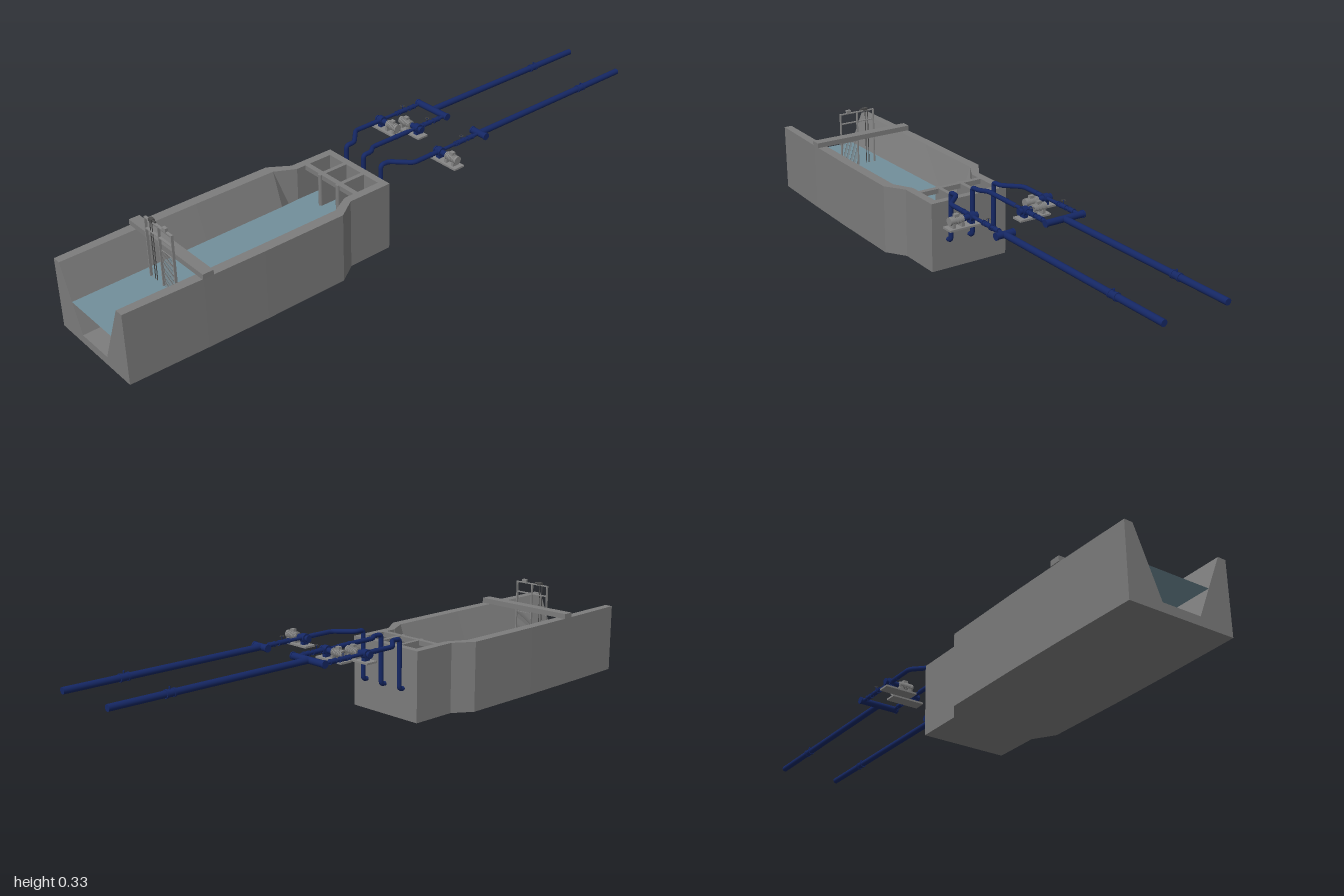
import * as THREE from 'three';

const concrete = new THREE.MeshStandardMaterial({ color: 0x7c7c7c });
const concreteFlat = new THREE.MeshStandardMaterial({ color: 0x7c7c7c, flatShading: true, side: THREE.DoubleSide });
const steel = new THREE.MeshStandardMaterial({ color: 0x858585 });
const darkSteel = new THREE.MeshStandardMaterial({ color: 0x4c4c4c });
const blue = new THREE.MeshStandardMaterial({ color: 0x152764 });
const waterMat = new THREE.MeshStandardMaterial({ color: 0x728f9b, side: THREE.DoubleSide });

const CX = -0.02;      // centre line of the basin
const TOP = 0.228, FLOOR = 0.028, WATER = 0.12, PIPE_Y = 0.26;

function add(parent, name, geometry, material, x = 0, y = 0, z = 0) {
  const mesh = new THREE.Mesh(geometry, material);
  mesh.name = name;
  mesh.position.set(x, y, z);
  parent.add(mesh);
  return mesh;
}

// Box given by its limits on each axis
function box(parent, name, [x0, x1], [y0, y1], [z0, z1], material) {
  return add(parent, name, new THREE.BoxGeometry(x1 - x0, y1 - y0, z1 - z0), material,
    (x0 + x1) / 2, (y0 + y1) / 2, (z0 + z1) / 2);
}

// Cylinder centred at a point, along axis 'x', 'y' or 'z'
function rod(parent, name, axis, r, length, x, y, z, material = blue, sides = 20) {
  const g = new THREE.CylinderGeometry(r, r, length, sides);
  if (axis === 'x') g.rotateZ(Math.PI / 2);
  if (axis === 'z') g.rotateX(Math.PI / 2);
  return add(parent, name, g, material, x, y, z);
}

// Pipe through points, with rounded elbows
function pipe(parent, name, points, r, bend = 0.012) {
  const p = points.map(a => new THREE.Vector3(...a));
  const path = new THREE.CurvePath();
  let from = p[0];
  for (let i = 1; i < p.length - 1; i++) {
    const a = p[i].clone().add(p[i - 1].clone().sub(p[i]).setLength(bend));
    const b = p[i].clone().add(p[i + 1].clone().sub(p[i]).setLength(bend));
    path.add(new THREE.LineCurve3(from, a));
    path.add(new THREE.QuadraticBezierCurve3(a, p[i], b));
    from = b;
  }
  path.add(new THREE.LineCurve3(from, p[p.length - 1]));
  add(parent, name, new THREE.TubeGeometry(path, 140, r, 12), blue);
}

// Basin stations from front to back: z, outer, inner top and inner floor half widths
const stations = [
  [1.0, 0.172, 0.145, 0.063],
  [0.75, 0.179, 0.147, 0.067],
  [0.55, 0.182, 0.148, 0.071],
  [0.27, 0.182, 0.147, 0.077],
  [0.205, 0.139, 0.112, 0.112],
  [0.07, 0.139, 0.112, 0.112],
];

// U-shaped channel lofted through the stations
function channelGeometry() {
  const rings = stations.map(([z, o, t, f]) => [
    [-o, 0], [o, 0], [o, TOP], [t, TOP], [f, FLOOR], [-f, FLOOR], [-t, TOP], [-o, TOP],
  ].map(([x, y]) => [CX + x, y, z]));
  const pos = [];
  for (let s = 0; s < rings.length - 1; s++) {
    const a = rings[s], b = rings[s + 1];
    for (let i = 0; i < 8; i++) {
      const j = (i + 1) % 8;
      pos.push(...a[i], ...b[i], ...a[j], ...a[j], ...b[i], ...b[j]);
    }
  }
  for (const [ring, flip] of [[rings[0], false], [rings[rings.length - 1], true]]) {
    const outline = ring.map(([x, y]) => new THREE.Vector2(x, y));
    for (const [i, j, k] of THREE.ShapeUtils.triangulateShape(outline, [])) {
      pos.push(...ring[i], ...ring[flip ? k : j], ...ring[flip ? j : k]);
    }
  }
  const g = new THREE.BufferGeometry();
  g.setAttribute('position', new THREE.Float32BufferAttribute(pos, 3));
  g.computeVertexNormals();
  return g;
}

function buildBasin() {
  const basin = new THREE.Group();
  basin.name = 'basin';
  add(basin, 'channel', channelGeometry(), concreteFlat);
  box(basin, 'backWall', [CX - 0.139, CX + 0.139], [0, TOP], [0.052, 0.075], concrete);
  box(basin, 'chamberLintel', [CX - 0.113, CX + 0.113], [0.212, TOP], [0.155, 0.172], concrete);
  for (const s of [-1, 1]) {
    const x = CX + s * 0.041;
    box(basin, 'chamberPartition', [x - 0.007, x + 0.007], [FLOOR, TOP], [0.07, 0.172], concrete);
    rod(basin, 'partitionNose', 'y', 0.007, TOP - FLOOR, x, (TOP + FLOOR) / 2, 0.172, concrete);
  }
  // Water surface follows the inner walls at its level
  const k = (WATER - FLOOR) / (TOP - FLOOR);
  const edge = stations.map(([z, , t, f]) => [f + (t - f) * k, z]);
  const shape = new THREE.Shape([
    ...edge.map(([w, z]) => new THREE.Vector2(CX + w, -z)),
    ...edge.reverse().map(([w, z]) => new THREE.Vector2(CX - w, -z)),
  ]);
  add(basin, 'water', new THREE.ShapeGeometry(shape).rotateX(-Math.PI / 2), waterMat, 0, WATER, 0);
  box(basin, 'bridge', [CX - 0.182, CX + 0.182], [TOP, 0.245], [0.72, 0.755], concrete);
  return basin;
}

function buildScreen() {
  const screen = new THREE.Group();
  screen.name = 'screenAndGate';
  const z = 0.768;
  for (const x of [-0.085, -0.02, 0.045]) {
    box(screen, 'post', [x - 0.0017, x + 0.0017], [FLOOR, 0.317], [z - 0.004, z + 0.004], steel);
  }
  for (const y of [0.28, 0.315]) {
    box(screen, 'rail', [-0.085, 0.045], [y - 0.0015, y + 0.0015], [z - 0.004, z + 0.004], steel);
  }
  box(screen, 'gatePlate', [-0.084, -0.021], [FLOOR, WATER], [z - 0.002, z + 0.002], steel);
  for (const x of [-0.063, -0.053]) {
    rod(screen, 'gateSpindle', 'y', 0.0014, 0.2, x, 0.217, z, darkSteel, 10);
  }
  // Bar rack
  for (let i = 0; i < 13; i++) {
    rod(screen, 'rackBar', 'y', 0.0007, 0.212, -0.014 + i * 0.0046, 0.134, z, steel, 8);
  }
  for (const y of [0.04, 0.21, 0.238]) {
    box(screen, 'rackCrossbar', [-0.018, 0.044], [y - 0.001, y + 0.001], [z - 0.003, z - 0.001], steel);
  }
  // Drives on the top rail
  box(screen, 'gateDrive', [-0.061, -0.045], [0.316, 0.325], [z - 0.006, z + 0.006], darkSteel);
  rod(screen, 'gateDriveMotor', 'x', 0.003, 0.014, -0.04, 0.321, z, darkSteel);
  box(screen, 'screenDrive', [0.005, 0.021], [0.316, 0.327], [z - 0.005, z + 0.005], steel);
  return screen;
}

// Pump beside its pipe; dir is the side on which the motor sits
function buildPump(x, z, dir) {
  const pump = new THREE.Group();
  pump.name = 'pump';
  box(pump, 'basePlate', [-0.026, 0.085], [0.232, 0.238], [-0.02, 0.02], steel);
  for (const px of [0.035, 0.065]) {
    box(pump, 'motorFoot', [px - 0.005, px + 0.005], [0.238, 0.25], [-0.012, 0.012], steel);
  }
  box(pump, 'pumpFoot', [-0.007, 0.007], [0.238, 0.25], [-0.01, 0.01], blue);
  rod(pump, 'volute', 'x', 0.0145, 0.018, 0, 0.258, 0);
  rod(pump, 'bearingHousing', 'x', 0.009, 0.045, 0.004, 0.258, 0);
  rod(pump, 'endCover', 'x', 0.011, 0.005, -0.018, 0.258, 0);
  rod(pump, 'coupling', 'x', 0.006, 0.014, 0.026, 0.258, 0, steel);
  rod(pump, 'motor', 'x', 0.012, 0.046, 0.053, 0.258, 0, steel);
  for (let i = 0; i < 7; i++) rod(pump, 'coolingFin', 'x', 0.0135, 0.002, 0.034 + i * 0.0055, 0.258, 0, steel);
  rod(pump, 'fanCover', 'x', 0.013, 0.006, 0.074, 0.258, 0, steel);
  box(pump, 'terminalBox', [0.045, 0.06], [0.268, 0.278], [-0.006, 0.006], steel);
  pump.position.set(x, 0, z);
  if (dir < 0) pump.rotation.y = Math.PI;
  return pump;
}

function buildLine(x, xIn, zBend) {
  const line = new THREE.Group();
  line.name = 'pumpLine';
  pipe(line, 'suctionPipe', [
    [xIn, 0.1, 0.06], [xIn, 0.1, 0.035], [xIn, PIPE_Y, 0.035],
    [xIn, PIPE_Y, 0.003], [x, PIPE_Y, zBend], [x, PIPE_Y, -0.17],
  ], 0.0075);
  pipe(line, 'deliveryPipe', [[x, PIPE_Y, -0.17], [x, PIPE_Y, -0.33]], 0.0055);
  for (const z of [-0.12, -0.225, -0.237, -0.263, -0.28, -0.3]) {
    rod(line, 'flange', 'z', 0.0085, 0.004, x, PIPE_Y, z);
  }
  // Gate valve with handwheel, and check valve
  rod(line, 'valveBody', 'z', 0.0075, 0.022, x, PIPE_Y, -0.25);
  rod(line, 'valveStem', 'y', 0.0015, 0.018, x, 0.27, -0.25);
  const wheel = add(line, 'handwheel', new THREE.TorusGeometry(0.006, 0.0008, 8, 20), darkSteel, x, 0.279, -0.25);
  wheel.rotation.x = Math.PI / 2;
  rod(line, 'checkValve', 'z', 0.0075, 0.018, x, PIPE_Y, -0.29);
  return line;
}

function buildMain(x, half) {
  const main = new THREE.Group();
  main.name = 'dischargeMain';
  rod(main, 'manifold', 'x', 0.0105, half * 2, x, PIPE_Y, -0.33);
  for (const s of [-1, 1]) rod(main, 'manifoldFlange', 'x', 0.012, 0.005, x + s * (half - 0.002), PIPE_Y, -0.33);
  rod(main, 'mainPipe', 'z', 0.01, 0.67, x, PIPE_Y, -0.665);
  for (const z of [-0.797, -0.822]) rod(main, 'mainFlange', 'z', 0.0125, 0.006, x, PIPE_Y, z);
  rod(main, 'mainValve', 'z', 0.011, 0.022, x, PIPE_Y, -0.81);
  rod(main, 'mainValveStem', 'y', 0.0025, 0.022, x, 0.268, -0.81);
  return main;
}

export function createModel() {
  const model = new THREE.Group();
  model.name = 'pumpingStation';
  model.add(buildBasin(), buildScreen());
  model.add(buildLine(-0.155, -0.1, -0.05), buildLine(-0.04, -0.02, -0.02), buildLine(0.115, 0.06, -0.05));
  model.add(buildPump(-0.155, -0.16, 1), buildPump(-0.04, -0.21, -1), buildPump(0.115, -0.16, 1));
  model.add(buildMain(-0.0975, 0.07), buildMain(0.115, 0.031));
  return model;
}
